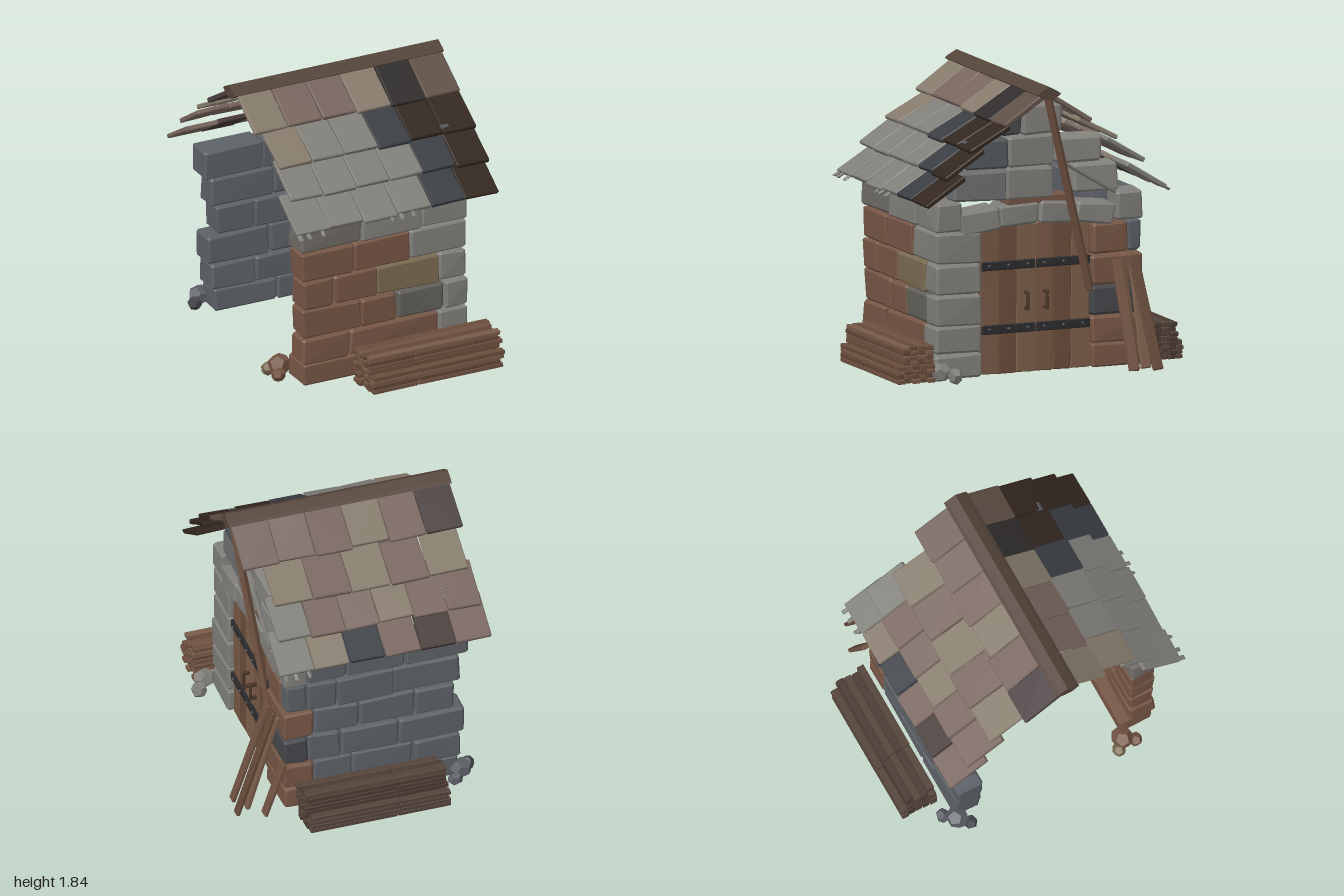
import * as THREE from 'three';
import { ConvexGeometry } from 'three/addons/geometries/ConvexGeometry.js';

const BROWN = 0x765645, TAN = 0x7a6a50, GREY = 0x7f7e7a, DARK = 0x45474a, BLUE = 0x5c6167;
const WOOD = [0x6f5140, 0x634837, 0x785b48, 0x694d3b];

let seed = 7;
const rand = () => (seed = (seed * 16807) % 2147483647) / 2147483647;
const jit = (a) => (rand() - 0.5) * 2 * a;

const materials = {};
const mat = (color) => (materials[color] ??= new THREE.MeshStandardMaterial({ color, flatShading: true }));

// Chamfered, slightly irregular block, centred on its own origin
function block(w, h, d, bevel, wobble) {
  const points = [];
  for (const sx of [-1, 1]) for (const sy of [-1, 1]) for (const sz of [-1, 1]) {
    const b = bevel * (0.7 + rand() * 0.8);
    const p = new THREE.Vector3(sx * (w / 2 - rand() * wobble), sy * (h / 2 - rand() * wobble), sz * (d / 2 - rand() * wobble));
    points.push(
      p.clone().add(new THREE.Vector3(0, -sy * b, -sz * b)),
      p.clone().add(new THREE.Vector3(-sx * b, 0, -sz * b)),
      p.clone().add(new THREE.Vector3(-sx * b, -sy * b, 0)));
  }
  return new ConvexGeometry(points);
}

function add(parent, name, geometry, color, x, y, z) {
  const mesh = new THREE.Mesh(geometry, mat(color));
  mesh.name = name;
  mesh.position.set(x, y, z);
  parent.add(mesh);
  return mesh;
}

// Stone filling the given ranges
function stone(parent, name, [x0, x1], [y0, y1], [z0, z1], color) {
  const geo = block(x1 - x0 + 0.004, y1 - y0 + 0.004, z1 - z0 + 0.008, 0.012, 0.011);
  return add(parent, name, geo, color, (x0 + x1) / 2, (y0 + y1) / 2, (z0 + z1) / 2);
}

// Board running between two points
function board(parent, name, a, b, w, d, color, twist = 0) {
  const from = new THREE.Vector3(...a), to = new THREE.Vector3(...b);
  const dir = to.clone().sub(from), mid = from.clone().add(to).multiplyScalar(0.5);
  const mesh = add(parent, name, block(w, dir.length(), d, 0.004, 0.005), color, mid.x, mid.y, mid.z);
  mesh.quaternion.setFromUnitVectors(new THREE.Vector3(0, 1, 0), dir.normalize());
  mesh.rotateY(twist);
}

function part(root, name) {
  const g = new THREE.Group();
  g.name = name;
  root.add(g);
  return g;
}

const COURSES = [[0.01, 0.165], [0.165, 0.34], [0.34, 0.535], [0.535, 0.73], [0.73, 0.93], [0.93, 1.125]];

function buildWalls(root) {
  // Front wall: seams along x, the last stone of each course is the corner beside the door
  const front = part(root, 'frontWall');
  const seams = [[-0.64, 0, 0.3, 0.5], [-0.65, -0.32, 0.3, 0.5], [-0.65, -0.24, 0.01, 0.34, 0.5],
    [-0.65, -0.43, -0.13, 0.3, 0.5], [-0.66, -0.29, 0.1, 0.5], [-0.67, -0.24, 0.18, 0.5]];
  const colors = [[BROWN, BROWN, GREY], [BROWN, BROWN, GREY], [BROWN, BROWN, 0x62605a, GREY],
    [BROWN, BROWN, TAN, GREY], [BROWN, BROWN, GREY], [0x6f6c66, GREY, GREY]];
  seams.forEach((s, r) => {
    for (let i = 0; i < s.length - 1; i++) {
      const corner = i === s.length - 2;
      const inner = corner ? (r === 5 ? 0.52 : 0.39) : r === 0 ? 0.46 : 0.53;
      stone(front, 'frontStone', [s[i], s[i + 1]], COURSES[r], [inner, 0.7 + jit(0.008)], colors[r][i]);
    }
  });
  // Stones under the eave
  for (const [x0, x1] of [[-0.65, -0.25], [-0.25, 0.1], [0.1, 0.32]])
    stone(front, 'eaveStone', [x0, x1], [1.125, 1.25], [0.5, 0.62], GREY);

  // Back wall, with ragged free end
  const back = part(root, 'backWall');
  const backSeams = [[-0.64, -0.2, 0.3], [-0.66, -0.35, 0.05, 0.3], [-0.69, -0.25, 0.12, 0.34],
    [-0.62, -0.36, 0, 0.3], [-0.66, -0.22, 0.15, 0.34], [-0.71, -0.3, 0.08, 0.34]];
  const cornerColors = [BROWN, BROWN, DARK, BROWN, BROWN, GREY];
  backSeams.forEach((s, r) => {
    for (let i = 0; i < s.length - 1; i++)
      stone(back, 'backStone', [s[i], s[i + 1]], COURSES[r], [-0.7 + jit(0.008), -0.53], BLUE);
    const end = s[s.length - 1];
    if (r === 4) {
      stone(back, 'cornerStone', [end, 0.5], COURSES[r], [-0.6, -0.36], BROWN);
      stone(back, 'cornerStone', [end, 0.49], COURSES[r], [-0.69, -0.6], BLUE);
    } else
      stone(back, 'cornerStone', [end, 0.5], COURSES[r], [-0.7, r === 5 ? -0.52 : -0.355], cornerColors[r]);
  });

  // Arched lintel over the door
  const lintel = part(root, 'doorLintel');
  const edges = [0.53, 0.26, 0, -0.25, -0.51];
  for (let i = 0; i < 4; i++) {
    const outer = i === 0 || i === 3, y = outer ? 0.99 : 1.015;
    const m = stone(lintel, 'lintelStone', [0.3, 0.5], [y - 0.072, y + 0.072], [edges[i + 1], edges[i]], GREY);
    m.rotation.x = (i < 2 ? 1 : -1) * (outer ? 0.13 : 0.05);
  }
  add(lintel, 'lintelBeam', block(0.14, 0.05, 0.42, 0.006, 0.004), BROWN, 0.41, 1.1, 0);

  // Gable stones above the door: y range, z range, colour
  const gable = part(root, 'gable');
  [[1.11, 1.3, 0.215, 0.57, 0x6d6f70], [1.11, 1.31, -0.1, 0.215, GREY], [1.13, 1.31, -0.53, -0.23, 0x85837e],
    [1.31, 1.5, 0.2, 0.5, 0x55595c], [1.31, 1.51, -0.11, 0.2, GREY], [1.32, 1.49, -0.42, -0.12, 0x85837e],
    [1.51, 1.66, 0.11, 0.24, DARK], [1.51, 1.7, -0.16, 0.11, GREY]].forEach(([y0, y1, z0, z1, c]) =>
    stone(gable, 'gableStone', [0.32, 0.49 + jit(0.015)], [y0, y1], [z0, z1], c));
}

function buildDoor(root) {
  const door = part(root, 'door');
  const shades = [0x775845, 0x6b4d3a, 0x7c5f4a];
  for (let i = 0; i < 6; i++) {
    const m = add(door, 'doorPlank', block(0.05, 0.94, 0.13, 0.005, 0.005), shades[i % 3], 0.44 + jit(0.005), 0.485, 0.325 - i * 0.123);
    m.rotation.x = jit(0.005);
  }
  for (const side of [-1, 1]) {
    const z = 0.017 + side * 0.185;
    for (const y of [0.3, 0.7]) {
      add(door, 'ironBand', block(0.02, 0.06, 0.365, 0.004, 0.003), 0x2b2b2d, 0.473, y, z);
      for (let k = -1; k <= 1; k++)
        add(door, 'rivet', new THREE.IcosahedronGeometry(0.014), 0x3a3a3c, 0.483, y, z + k * 0.13);
    }
    const hz = 0.017 + side * 0.065;
    add(door, 'doorHandle', block(0.018, 0.12, 0.022, 0.004, 0.002), 0x4a3527, 0.5, 0.47, hz);
    for (const y of [0.42, 0.52]) add(door, 'handleMount', new THREE.BoxGeometry(0.05, 0.02, 0.02), 0x4a3527, 0.48, y, hz);
  }
}

function buildRoof(root) {
  const roof = part(root, 'roof');
  // Per course: lower edge z and y, slope, tile length
  const rows = [[0.295, 1.605, 0.58, 0.31], [0.53, 1.455, 0.49, 0.3], [0.7, 1.3, 0.56, 0.31], [0.83, 1.135, 0.56, 0.31]];
  const dim = 0x33271f, slate = 0x3a3e43, stoneGrey = 0x7f7e79, mauve = 0x78655e, sand = 0x857a6b;
  // Per course: start x, end x, tile colours from -x to +x
  const frontTiles = [[-0.78, 0.65, [sand, mauve, mauve, sand, 0x302d2c, 0x5f5046]],
    [-0.72, 0.65, [sand, stoneGrey, stoneGrey, slate, dim, dim]],
    [-0.73, 0.65, [stoneGrey, stoneGrey, stoneGrey, stoneGrey, slate, dim]],
    [-0.76, 0.65, [stoneGrey, stoneGrey, stoneGrey, stoneGrey, slate, dim]]];
  const backTiles = [[-0.81, 0.63, [0x4a4040, mauve, sand, mauve, 0x7a6a62, 0x75655f]],
    [-0.77, 0.5, [sand, mauve, sand, mauve, sand]],
    [-0.8, 0.54, [mauve, mauve, sand, 0x7a6a62, mauve, stoneGrey]],
    [-0.82, 0.57, [mauve, 0x463a38, mauve, slate, sand, stoneGrey]]];
  for (const [side, courses] of [[1, frontTiles], [-1, backTiles]])
    courses.forEach(([x0, x1, colors], r) => {
      const w = (x1 - x0) / colors.length, [zEdge, yEdge, slope, len] = rows[r];
      colors.forEach((c, i) => {
        const drop = len / 2 + jit(0.012);
        const z = zEdge - Math.cos(slope) * drop, y = yEdge + Math.sin(slope) * drop;
        const m = add(roof, 'roofTile', block(w - 0.002, 0.034, len, 0.005, 0.004), c, x0 + w * (i + 0.5), y, side * z);
        m.rotation.set(side * (slope + jit(0.02)), jit(0.02), jit(0.03));
      });
    });

  // Chipped ends along the lowest courses
  for (const [x, side] of [[-0.74, 1], [-0.68, 1], [-0.58, 1], [-0.1, 1], [-0.03, 1], [0.05, 1], [0.38, -1], [0.46, -1], [0.53, -1]]) {
    const m = add(roof, 'tileChip', block(0.035, 0.022, 0.08, 0.005, 0.01), stoneGrey, x, 1.13, side * 0.83);
    m.rotation.x = side * 0.56;
  }

  // Ridge cap with folded cross-section
  const s = new THREE.Shape([[-0.08, 1.79], [-0.03, 1.755], [0.03, 1.755], [0.08, 1.79], [0.06, 1.805], [0, 1.838], [-0.06, 1.805]]
    .map((p) => new THREE.Vector2(...p)));
  const ridge = add(roof, 'ridgeBeam', new THREE.ExtrudeGeometry(s, { depth: 1.46, bevelEnabled: false }), 0x54443a, -0.81, 0, 0);
  ridge.rotation.y = Math.PI / 2;

  // Fallen rafters at the door end
  board(roof, 'hangingRafter', [0.6, 1.76, -0.01], [0.47, 0.5, -0.35], 0.05, 0.04, 0x6f5140);
  board(roof, 'brokenRafter', [0.52, 1.36, -0.1], [0.52, 1.12, -0.5], 0.03, 0.025, 0x77756f);
}

function buildLumber(root) {
  // Two stacks of planks, each with a wide lower tier and a narrower upper tier
  for (const [side, x0, x1] of [[1, -0.34, 0.61], [-1, -0.5, 0.45]]) {
    const pile = part(root, side > 0 ? 'frontWoodpile' : 'backWoodpile');
    for (const [y0, count, zMid] of [[0.02, 5, 0.874], [0.137, 4, 0.86]])
      for (let row = 0; row < 4; row++) for (let c = 0; c < count; c++) {
        const y = y0 + 0.014 + row * 0.029, z = side * (zMid + (c - (count - 1) / 2) * 0.05);
        const split = x0 + 0.34 + jit(0.015);
        for (const [a, b] of [[x0 + rand() * 0.03, split], [split + 0.002, x1 - rand() * 0.04]])
          add(pile, 'stackedPlank', block(b - a, 0.03, 0.05, 0.003, 0.002), side < 0 ? [0x54443a, 0x4a3b32][c % 2] : WOOD[(row + c) % 4],
            (a + b) / 2, y, z + jit(0.002));
      }
  }

  // Planks leaning beside the door
  const lean = part(root, 'leaningPlanks');
  [[0.78, 0.03, -0.52, 0.54, 0.7, -0.5, 0.07], [0.8, 0.03, -0.67, 0.54, 0.72, -0.61, 0.07],
    [0.72, 0.03, -0.62, 0.52, 0.69, -0.62, 0.07], [0.7, 0.03, -0.56, 0.51, 0.64, -0.55, 0.06],
    [0.64, 0.03, -0.73, 0.5, 0.38, -0.7, 0.07]].forEach(([x0, y0, z0, x1, y1, z1, w], i) =>
    board(lean, 'leaningPlank', [x0, y0, z0], [x1, y1, z1], 0.032, w, WOOD[i % 4], jit(0.12)));
}

function buildRubble(root) {
  const rubble = part(root, 'rubble');
  [[-0.69, 0.08, 0.45, 0.08, BROWN], [-0.74, 0.045, 0.4, 0.05, TAN], [-0.73, 0.05, 0.52, 0.05, BROWN],
    [0.55, 0.07, 0.7, 0.075, GREY], [0.61, 0.05, 0.62, 0.055, GREY], [0.5, 0.05, 0.74, 0.05, 0x8a8984],
    [-0.66, 0.07, -0.7, 0.075, BLUE], [-0.72, 0.05, -0.64, 0.05, DARK], [-0.6, 0.045, -0.77, 0.05, BLUE]]
    .forEach(([x, y, z, r, c]) => {
      const rock = add(rubble, 'rock', new THREE.DodecahedronGeometry(r), c, x, y, z);
      rock.scale.set(1, 0.85, 0.95);
      rock.rotation.set(rand() * 3, rand() * 3, 0);
    });
}

export function createModel() {
  seed = 7;
  const root = new THREE.Group();
  root.name = 'ruinedShed';
  buildWalls(root);
  buildDoor(root);
  buildRoof(root);
  buildLumber(root);
  buildRubble(root);
  return root;
}
